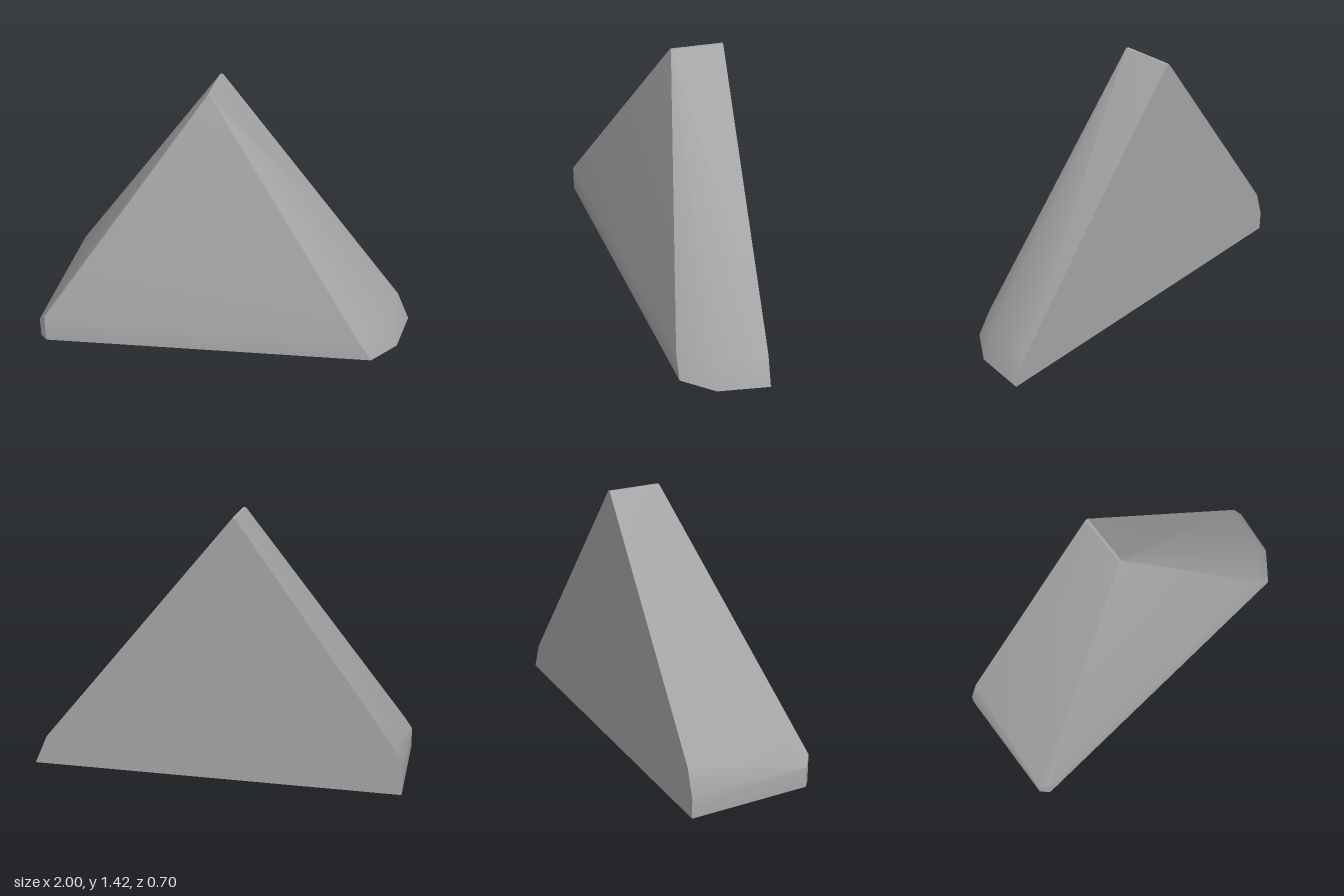
import * as THREE from 'three';
import { ConvexGeometry } from 'three/addons/geometries/ConvexGeometry.js';
import { toCreasedNormals } from 'three/addons/utils/BufferGeometryUtils.js';

export function createModel() {
  const stone = new THREE.MeshStandardMaterial({ color: 0xa6a6a6 });
  stone.name = 'grey stone';

  const corners = [
    // flat back outline
    [-1, 0, -0.35], [-1, 0.11, -0.35], [-0.95, 0.26, -0.35], [-0.115, 1.42, -0.35],
    [-0.1, 1.42, -0.35], [0.93, 0.16, -0.35], [1, 0, -0.35],
    // front end of the ridge
    [-0.115, 1.42, -0.07], [-0.1, 1.42, -0.07],
    // sloping front face and its low upright band
    [-0.955, 0, 0.35], [-0.955, 0.155, 0.35], [0.77, 0.12, 0.1], [0.85, 0, 0.1],
    // chamfer on the right end
    [-1, 0, 0.31], [-1, 0.11, 0.31],
    // rounded left end
    [0.97, 0, -0.07], [0.9, 0.16, -0.07],
  ].map((p) => new THREE.Vector3(...p));

  const rock = new THREE.Mesh(toCreasedNormals(new ConvexGeometry(corners), 0.6), stone);
  rock.name = 'wedgeRock';

  const group = new THREE.Group();
  group.name = 'rock';
  group.add(rock);
  return group;
}
